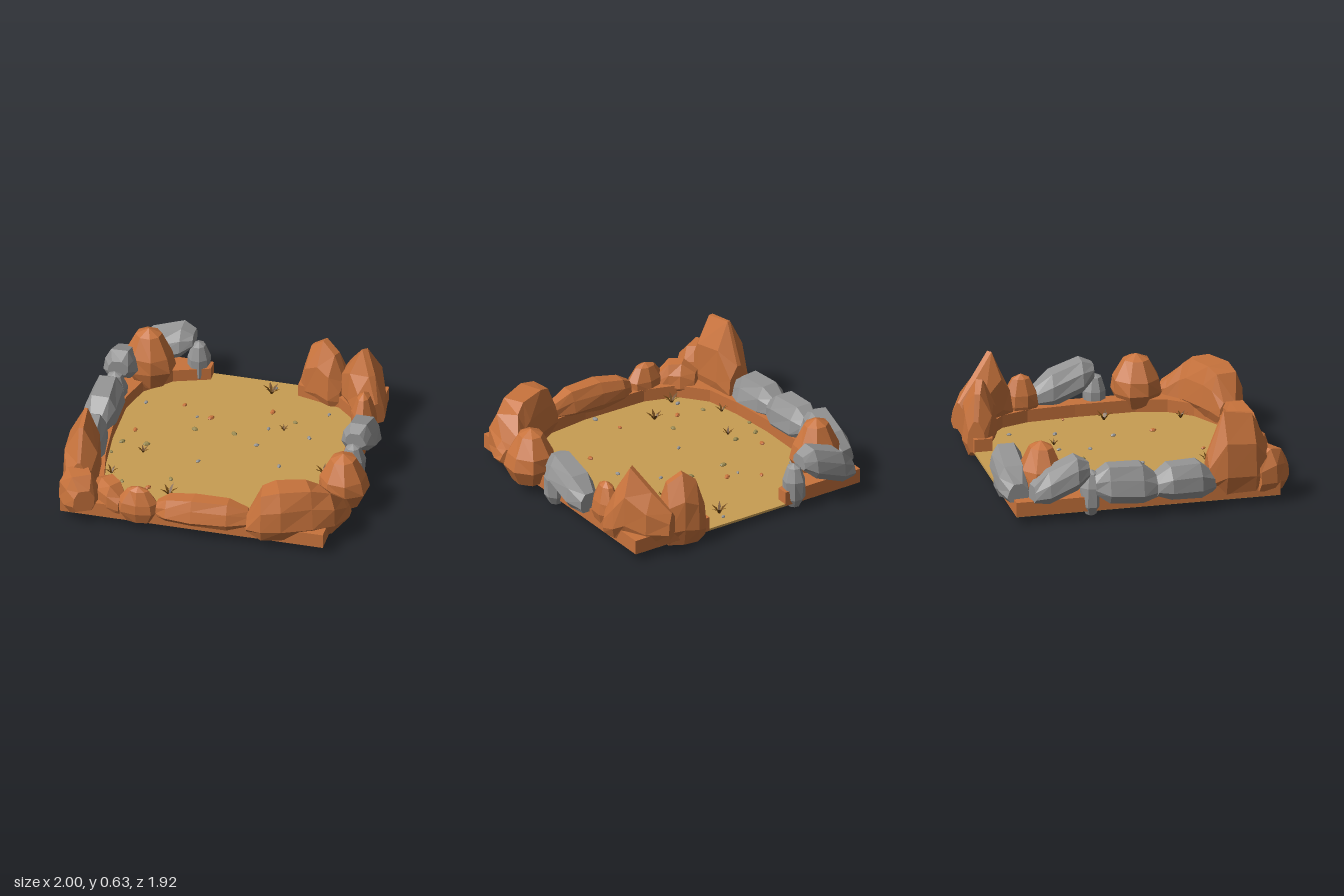
import * as THREE from 'three';

const mat = (color, side = THREE.FrontSide) => new THREE.MeshStandardMaterial({ color, side, flatShading: true });
const ORANGE = mat(0xc8733c), GREY = mat(0x969696), SAND = mat(0xc89d52), OLIVE = mat(0x9a8a50);
const STRAW = mat(0x6b4512, THREE.DoubleSide);

// Repeatable noise in -1..1 taken from a position
const noise = (x, y, z) => {
  const s = Math.sin(Math.round(x * 500) * 12.99 + Math.round(y * 500) * 78.23 + Math.round(z * 500) * 37.72) * 4375.85;
  return (s - Math.floor(s)) * 2 - 1;
};

// Long boulder: eight-sided sections [x, z, halfWidth, bottom, top] along a path
function ridge(name, material, sections, crest = 0.5) {
  const profile = [[0.65, 0], [1, 0.25], [0.88, 0.66], [crest, 1], [-crest, 1], [-0.88, 0.66], [-1, 0.25], [-0.65, 0]];
  const n = profile.length, last = sections.length - 1, pos = [], index = [];
  sections.forEach(([x, z, w, y0, y1], i) => {
    const a = sections[Math.max(i - 1, 0)], b = sections[Math.min(i + 1, last)];
    const len = Math.hypot(b[0] - a[0], b[1] - a[1]);
    const sx = (b[1] - a[1]) / len, sz = -(b[0] - a[0]) / len;
    profile.forEach(([u, v], j) => {
      const k = noise(x + j, z, v) * 0.008;
      pos.push(x + sx * (u * w + k), y0 + v * (y1 - y0), z + sz * (u * w + k));
      if (i < last) {
        const p = i * n + j, q = i * n + (j + 1) % n;
        index.push(p, q, p + n, q, q + n, p + n);
      }
      if (j > 0 && j < n - 1) {
        if (i === 0) index.push(0, j + 1, j);
        if (i === last) index.push(i * n, i * n + j, i * n + j + 1);
      }
    });
  });
  const geo = new THREE.BufferGeometry();
  geo.setAttribute('position', new THREE.Float32BufferAttribute(pos, 3));
  geo.setIndex(index);
  geo.computeVertexNormals();
  const mesh = new THREE.Mesh(geo, material);
  mesh.name = name;
  return mesh;
}

// Upright boulder: faceted lathe, rx by rz wide, from y0 to y1
const PEAK = [[0, 0], [0.7, 0], [1, 0.3], [0.92, 0.55], [0.5, 0.9], [0, 1]];
const POD = [[0, 0], [0.5, 0.06], [0.95, 0.25], [1, 0.65], [0.6, 0.93], [0, 1]];
function boulder(name, material, x, z, rx, rz, y0, y1, profile = PEAK, turn = 0.3) {
  const geo = new THREE.LatheGeometry(profile.map(p => new THREE.Vector2(...p)), 8);
  geo.rotateY(turn);
  const p = geo.attributes.position;
  for (let i = 0; i < p.count; i++) {
    const k = 1 + 0.07 * noise(p.getX(i), p.getY(i), p.getZ(i));
    p.setXYZ(i, x + p.getX(i) * rx * k, y0 + p.getY(i) * (y1 - y0), z + p.getZ(i) * rz * k);
  }
  geo.computeVertexNormals();
  const mesh = new THREE.Mesh(geo, material);
  mesh.name = name;
  return mesh;
}

export function createModel() {
  const model = new THREE.Group();

  // Sand floor
  const floor = new THREE.Mesh(new THREE.BoxGeometry(1.735, 0.015, 1.745), SAND);
  floor.name = 'sandFloor';
  floor.position.set(-0.04, 0.0675, -0.005);
  model.add(floor);

  // Raised rim, open at the back
  const outline = [[-0.33, -0.88], [-0.91, -0.88], [-0.91, 0.87], [0.835, 0.87], [0.835, -0.88], [0.26, -0.88],
    [0.26, -0.76], [0.55, -0.69], [0.65, -0.6], [0.71, -0.42], [0.73, -0.1], [0.73, 0.3], [0.68, 0.5], [0.57, 0.65],
    [0.38, 0.76], [0.1, 0.79], [-0.35, 0.78], [-0.56, 0.71], [-0.7, 0.54], [-0.75, 0.3], [-0.78, 0],
    [-0.78, -0.35], [-0.72, -0.56], [-0.56, -0.72], [-0.33, -0.8]];
  const rimGeo = new THREE.ExtrudeGeometry(new THREE.Shape(outline.map(p => new THREE.Vector2(...p))),
    { depth: 0.098, bevelEnabled: false });
  rimGeo.rotateX(Math.PI / 2).translate(0, 0.16, 0);
  const rim = new THREE.Mesh(rimGeo, ORANGE);
  rim.name = 'rim';
  model.add(rim);

  const rocks = new THREE.Group();
  rocks.name = 'rocks';
  model.add(rocks);
  rocks.add(
    // Front edge
    ridge('frontRightTallRock', ORANGE, [[-0.83, 0.4, 0.08, 0.1, 0.36], [-0.83, 0.51, 0.11, 0.08, 0.64],
      [-0.82, 0.7, 0.12, 0.08, 0.61], [-0.81, 0.8, 0.09, 0.1, 0.4]], 0.12),
    ridge('frontRightLowRock', ORANGE, [[-0.87, 0.7, 0.08, 0.1, 0.3], [-0.82, 0.78, 0.13, 0.08, 0.37],
      [-0.77, 0.86, 0.12, 0.08, 0.35], [-0.74, 0.92, 0.07, 0.12, 0.27]]),
    ridge('frontStone', ORANGE, [[-0.69, 0.68, 0.06, 0.1, 0.24], [-0.63, 0.75, 0.09, 0.09, 0.3],
      [-0.56, 0.81, 0.08, 0.09, 0.29], [-0.5, 0.84, 0.05, 0.1, 0.22]]),
    boulder('frontBoulder', ORANGE, -0.4, 0.845, 0.14, 0.08, 0.07, 0.32, PEAK, 0),
    ridge('frontLongRock', ORANGE, [[-0.27, 0.84, 0.045, 0.13, 0.23], [-0.2, 0.845, 0.08, 0.12, 0.27],
      [-0.03, 0.85, 0.09, 0.11, 0.3], [0.2, 0.85, 0.085, 0.12, 0.3], [0.33, 0.83, 0.05, 0.14, 0.25]]),
    ridge('frontLeftRock', ORANGE, [[0.33, 0.83, 0.07, 0.11, 0.24], [0.42, 0.83, 0.12, 0.08, 0.41],
      [0.52, 0.8, 0.14, 0.08, 0.44], [0.7, 0.72, 0.13, 0.08, 0.43], [0.79, 0.66, 0.13, 0.08, 0.38],
      [0.85, 0.55, 0.1, 0.1, 0.26], [0.87, 0.5, 0.07, 0.12, 0.22]], 0.55),
    // Left side
    boulder('leftBoulder', ORANGE, 0.835, 0.33, 0.165, 0.165, 0.08, 0.44),
    boulder('leftGreyPost', GREY, 0.83, 0.05, 0.08, 0.08, 0.01, 0.33, POD),
    ridge('leftGreySlab', GREY, [[0.84, 0.04, 0.07, 0.3, 0.4], [0.84, -0.04, 0.11, 0.23, 0.43],
      [0.84, -0.24, 0.11, 0.14, 0.36], [0.84, -0.35, 0.07, 0.14, 0.27]]),
    boulder('backLeftSmallRock', ORANGE, 0.775, -0.45, 0.08, 0.12, 0.09, 0.39),
    // Back left corner
    ridge('backLeftTallRock', ORANGE, [[0.57, -0.91, 0.06, 0.12, 0.3], [0.65, -0.8, 0.12, 0.08, 0.43],
      [0.73, -0.67, 0.13, 0.08, 0.58], [0.79, -0.6, 0.12, 0.08, 0.42], [0.84, -0.54, 0.06, 0.1, 0.25]], 0.15),
    ridge('backLeftSpire', ORANGE, [[0.29, -0.86, 0.06, 0.06, 0.27], [0.34, -0.84, 0.1, 0.02, 0.44],
      [0.43, -0.81, 0.11, 0.02, 0.51], [0.52, -0.77, 0.1, 0.02, 0.44], [0.58, -0.74, 0.06, 0.07, 0.25]], 0.25),
    // Back right corner
    boulder('backGreyPost', GREY, -0.42, -0.84, 0.075, 0.08, 0.01, 0.33, POD),
    ridge('backGreySlab', GREY, [[-0.45, -0.86, 0.07, 0.3, 0.39], [-0.53, -0.86, 0.11, 0.23, 0.43],
      [-0.74, -0.86, 0.11, 0.14, 0.35], [-0.84, -0.85, 0.07, 0.14, 0.26]]),
    boulder('backRightBoulder', ORANGE, -0.71, -0.67, 0.17, 0.15, 0.1, 0.5),
    // Right side
    ridge('rightGreySlab', GREY, [[-0.85, -0.4, 0.07, 0.29, 0.39], [-0.86, -0.48, 0.11, 0.22, 0.43],
      [-0.86, -0.67, 0.11, 0.14, 0.35], [-0.88, -0.77, 0.06, 0.15, 0.26]]),
    boulder('rightGreyPost', GREY, -0.86, -0.375, 0.08, 0.075, 0.01, 0.33, POD),
    ridge('rightGreyMiddleRock', GREY, [[-0.88, -0.36, 0.07, 0.18, 0.3], [-0.88, -0.27, 0.11, 0.12, 0.36],
      [-0.88, -0.05, 0.115, 0.1, 0.35], [-0.88, 0.05, 0.08, 0.13, 0.27]]),
    ridge('rightGreyFrontRock', GREY, [[-0.9, 0.04, 0.08, 0.14, 0.27], [-0.89, 0.13, 0.11, 0.11, 0.33],
      [-0.87, 0.33, 0.11, 0.1, 0.33], [-0.85, 0.43, 0.07, 0.13, 0.25]]));

  // Scattered pebbles
  const pebbleSets = [
    [GREY, [[0.1, -0.8], [0.51, -0.59], [-0.67, -0.44], [0.17, -0.34], [0.45, -0.3], [0.14, -0.14], [0.34, 0.06],
      [-0.18, 0.13], [0.73, 0.1], [-0.51, 0.63], [0.05, 0.75], [-0.31, -0.36]]],
    [ORANGE, [[-0.42, -0.47], [0.15, -0.53], [-0.22, -0.37], [-0.66, -0.12], [0.69, -0.19], [0.37, 0.33],
      [-0.42, 0.5], [-0.02, 0.57]]],
    [OLIVE, [[0.32, -0.45], [-0.29, -0.22], [-0.03, -0.23], [-0.55, 0.02], [-0.71, 0.03], [-0.75, 0.16],
      [-0.3, 0.37], [-0.6, 0.47]]]];
  const pebbleGeo = new THREE.SphereGeometry(1, 6, 4);
  const pebbles = new THREE.Group();
  pebbles.name = 'pebbles';
  for (const [material, spots] of pebbleSets) {
    for (const [x, z] of spots) {
      const m = new THREE.Mesh(pebbleGeo, material), s = 0.016 + 0.005 * noise(x, 0, z);
      m.name = 'pebble';
      m.position.set(x, 0.08, z);
      m.scale.set(s * 1.25, s * 0.7, s * 0.85);
      m.rotation.y = noise(z, 1, x) * 3;
      pebbles.add(m);
    }
  }
  model.add(pebbles);

  // Dry grass tufts: a fan of bent pointed blades
  const bladeGeo = new THREE.BufferGeometry();
  bladeGeo.setAttribute('position', new THREE.Float32BufferAttribute(
    [-0.12, 0, 0, 0.12, 0, 0, -0.15, 0.6, 0.45, 0.15, 0.6, 0.45, 0, 0.9, 1], 3));
  bladeGeo.setIndex([0, 1, 2, 1, 3, 2, 2, 3, 4]);
  bladeGeo.computeVertexNormals();
  const tufts = [[0.09, -0.74, 0.06], [0.27, -0.35, 0.035], [0.64, 0.07, 0.06], [0.56, 0.56, 0.045],
    [-0.27, 0.54, 0.06], [-0.49, 0.67, 0.06], [-0.69, 0.39, 0.045], [-0.55, 0.11, 0.04]];
  for (const [x, z, size] of tufts) {
    const tuft = new THREE.Group();
    tuft.name = 'grassTuft';
    tuft.position.set(x, 0.073, z);
    for (let i = 0; i < 6; i++) {
      const blade = new THREE.Mesh(bladeGeo, STRAW);
      blade.name = 'blade';
      blade.rotation.y = i * Math.PI / 3 + x * 5;
      blade.scale.set(size, size * (1 + 0.2 * noise(x, i, z)), size);
      tuft.add(blade);
    }
    model.add(tuft);
  }
  return model;
}
